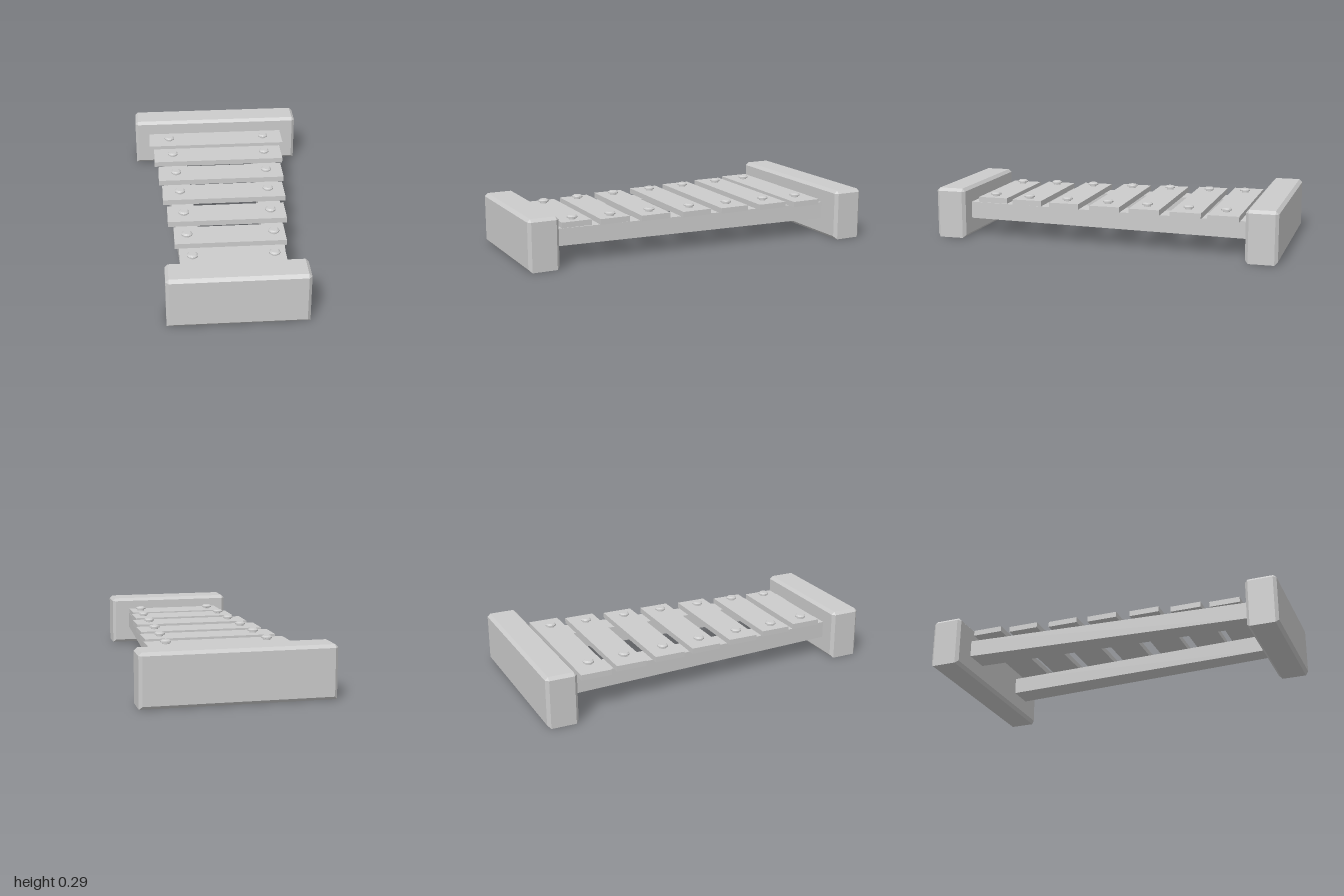
import * as THREE from 'three';
import { ConvexGeometry } from 'three/addons/geometries/ConvexGeometry.js';

const material = new THREE.MeshStandardMaterial({ color: 0xcccccc, flatShading: true });

function add(parent, name, geometry, x = 0, y = 0, z = 0) {
  const mesh = new THREE.Mesh(geometry, material);
  mesh.name = name;
  mesh.position.set(x, y, z);
  parent.add(mesh);
  return mesh;
}

// Block with chamfered edges; the lower side edges stay square
function blockGeometry(halfW, height, halfD, c) {
  const points = [];
  for (const sx of [-1, 1]) {
    for (const sz of [-1, 1]) {
      const corners = [
        [halfW, 0, halfD - c],
        [halfW - c, c, halfD],
        [halfW - c, height - c, halfD],
        [halfW, height - c, halfD - c],
        [halfW - c, height, halfD - c],
      ];
      for (const [x, y, z] of corners) points.push(new THREE.Vector3(sx * x, y, sz * z));
    }
  }
  return new ConvexGeometry(points);
}

// Beam that narrows and converges towards the front
function railGeometry(side) {
  const plan = [[0.222, -0.85], [0.371, -0.85], [0.268, 0.85], [0.159, 0.85]];
  const shape = new THREE.Shape(plan.map(([x, z]) => new THREE.Vector2(side * x, -z)));
  const geometry = new THREE.ExtrudeGeometry(shape, { depth: 0.096, bevelEnabled: false });
  return geometry.rotateX(-Math.PI / 2);
}

export function createModel() {
  const model = new THREE.Group();
  model.name = 'xylophone';

  // End blocks
  add(model, 'backBlock', blockGeometry(0.516, 0.288, 0.087, 0.017), 0, 0, -0.913);
  add(model, 'frontBlock', blockGeometry(0.373, 0.288, 0.087, 0.017), 0, 0, 0.913);

  // Rails
  add(model, 'leftRail', railGeometry(1), 0, 0.1, 0);
  add(model, 'rightRail', railGeometry(-1), 0, 0.1, 0);

  // Peg: short stem under a bevelled cap
  const pegProfile = [[0, 0], [0.02, 0], [0.02, 0.008], [0.03, 0.01], [0.03, 0.017], [0.021, 0.024], [0, 0.024]];
  const pegGeometry = new THREE.LatheGeometry(pegProfile.map(([r, y]) => new THREE.Vector2(r, y)), 16);

  // Sounding bars: z centre, half width, peg offset
  const bars = [
    [-0.69, 0.421, 0.298],
    [-0.476, 0.394, 0.283],
    [-0.238, 0.373, 0.271],
    [-0.005, 0.355, 0.257],
    [0.24, 0.334, 0.245],
    [0.473, 0.304, 0.238],
    [0.69, 0.283, 0.218],
  ];
  bars.forEach(([z, halfW, pegX], i) => {
    const bar = new THREE.Group();
    bar.name = `bar${i + 1}`;
    bar.position.set(-0.008, 0.197, z);
    model.add(bar);
    add(bar, 'plate', new THREE.BoxGeometry(halfW * 2, 0.031, 0.173), 0, 0.0155, 0);
    for (const side of [-1, 1]) {
      add(bar, side > 0 ? 'leftPeg' : 'rightPeg', pegGeometry, side * pegX + 0.004, 0.03, 0.004);
    }
  });

  return model;
}
